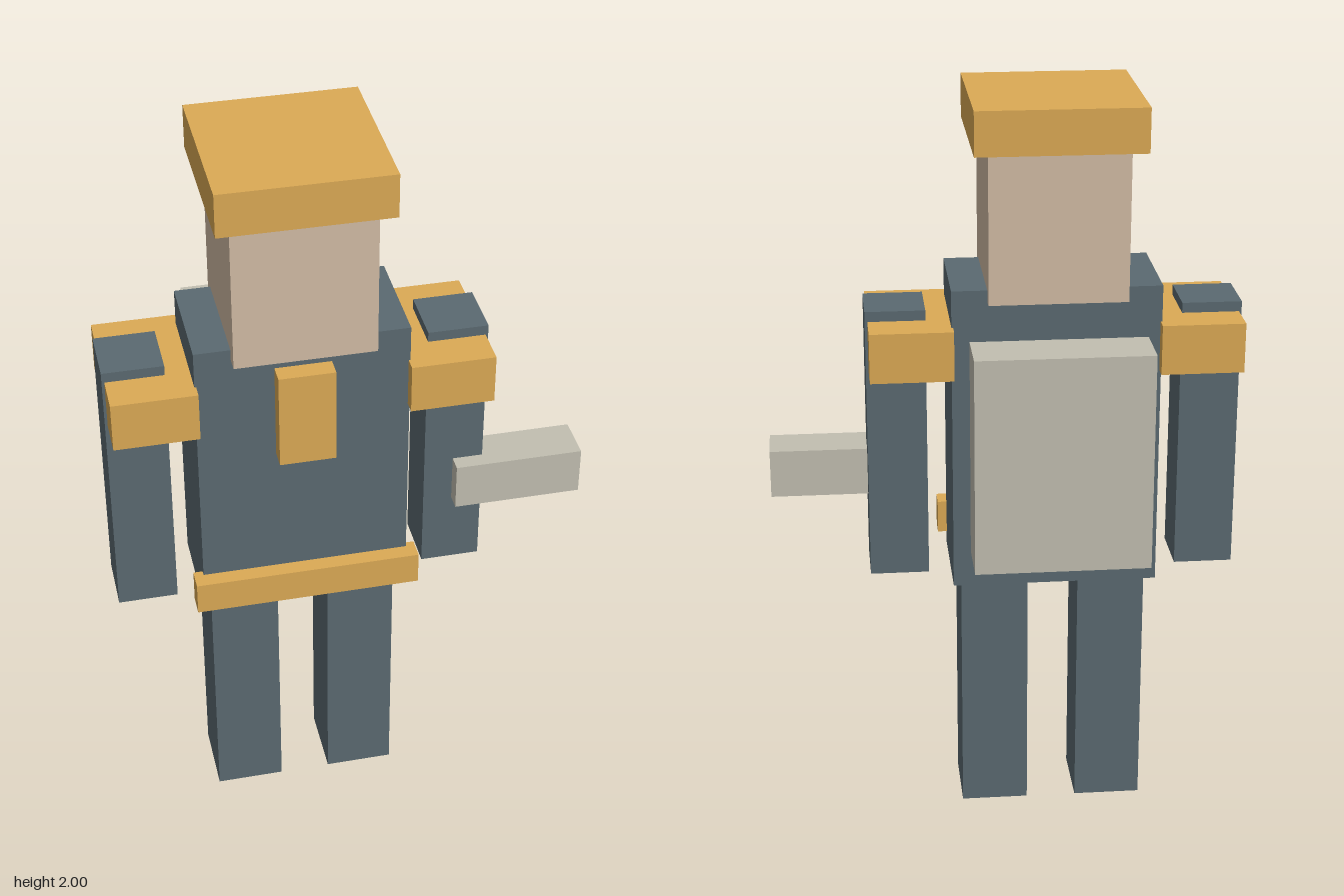
import * as THREE from 'three';

const material = (color) => new THREE.MeshStandardMaterial({ color, flatShading: true });

export function createModel() {
  const model = new THREE.Group();
  model.name = 'blockFigure';

  const cloth = material(0x5b6a71);
  const gold = material(0xdcaa55);
  const skin = material(0xd2bca5);
  const metal = material(0xc2bfb1);

  // Box from its extents along each axis
  function block(name, mat, [x0, x1], [y0, y1], [z0, z1]) {
    const mesh = new THREE.Mesh(new THREE.BoxGeometry(x1 - x0, y1 - y0, z1 - z0), mat);
    mesh.position.set((x0 + x1) / 2, (y0 + y1) / 2, (z0 + z1) / 2);
    mesh.name = name;
    model.add(mesh);
  }

  // The body's middle plane; the held tool shifts it off the origin
  const mid = -0.132;
  const centred = (width) => [mid - width / 2, mid + width / 2];

  // Body and head
  block('torso', cloth, centred(0.545), [0.693, 1.52], [-0.085, 0.205]);
  block('head', skin, centred(0.36), [1.49, 1.89], [-0.12, 0.243]);
  block('cap', gold, centred(0.436), [1.885, 2], [-0.16, 0.277]);

  // Limbs and shoulder pads, mirrored about the middle plane
  for (const [side, s] of [['left', 1], ['right', -1]]) {
    const span = (inner, outer) => [mid + s * inner, mid + s * outer].sort((a, b) => a - b);
    block(side + 'Leg', cloth, span(0.068, 0.249), [0, 0.695], [-0.035, 0.16]);
    block(side + 'Arm', cloth, span(0.335, 0.492), [0.707, 1.45], [-0.02, 0.137]);
    block(side + 'ShoulderPad', gold, span(0.268, 0.485), [1.29, 1.423], [-0.122, 0.24]);
  }

  // Front trim
  block('chestBadge', gold, centred(0.145), [1.187, 1.45], [0.197, 0.255]);
  block('belt', gold, centred(0.594), [0.73, 0.82], [0.19, 0.247]);

  // Gear
  block('backpack', metal, centred(0.46), [0.815, 1.4], [-0.28, -0.135]);
  block('heldTool', metal, [0.28, 0.62], [0.91, 1.04], [0.058, 0.18]);

  return model;
}
